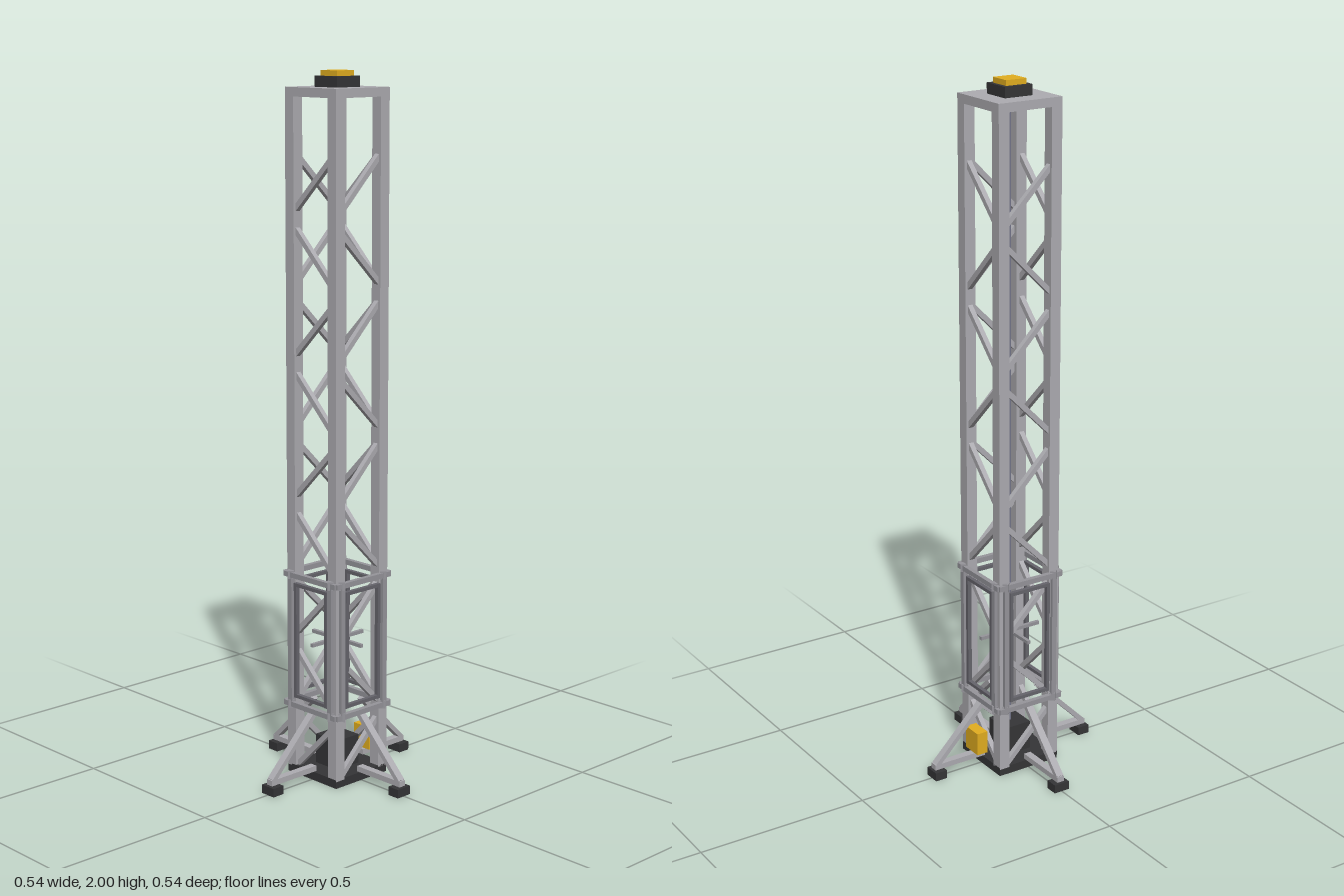
import * as THREE from 'three';

export function createModel() {
  const model = new THREE.Group();
  model.name = 'latticeTower';
  const mat = (name, color) => {
    const m = new THREE.MeshStandardMaterial({ color });
    m.name = name;
    return m;
  };
  const steel = mat('steelGrey', 0xadacb1);
  const frameGrey = mat('carriageGrey', 0x96959b);
  const railGrey = mat('railGrey', 0x66656c);
  const black = mat('black', 0x353537);
  const gold = mat('gold', 0xe2ae20);
  const cableGrey = mat('cableGrey', 0x74768a);

  const group = (name, parent = model) => {
    const g = new THREE.Group();
    g.name = name;
    parent.add(g);
    return g;
  };
  const box = (name, material, w, h, d, x, y, z, parent = model) => {
    const m = new THREE.Mesh(new THREE.BoxGeometry(w, h, d), material);
    m.name = name;
    m.position.set(x, y, z);
    parent.add(m);
    return m;
  };
  // rectangular bar between two points, in the space of its parent
  const bar = (name, material, a, b, t, parent, w = t) => {
    const p = new THREE.Vector3(...a), q = new THREE.Vector3(...b);
    const m = box(name, material, w, t, p.distanceTo(q), 0, 0, 0, parent);
    m.position.copy(p).add(q).multiplyScalar(0.5);
    m.quaternion.setFromRotationMatrix(new THREE.Matrix4().lookAt(q, p, m.up));
    return m;
  };

  // base, motor and control box
  box('basePlate', black, 0.2, 0.025, 0.2, 0, 0.0175, 0);
  box('motor', black, 0.086, 0.088, 0.086, 0, 0.073, 0);
  box('controlBox', gold, 0.062, 0.068, 0.034, 0, 0.085, -0.115);

  // corner posts and top plate
  for (const x of [-1, 1]) for (const z of [-1, 1])
    box('cornerPost', steel, 0.033, 1.91, 0.033, x * 0.0835, 0.98, z * 0.0835);
  box('topPlate', steel, 0.2, 0.025, 0.2, 0, 1.943, 0);
  box('topHousing', black, 0.087, 0.03, 0.087, 0, 1.97, 0);
  box('topCap', gold, 0.064, 0.016, 0.064, 0, 1.992, 0);

  // lattice bracing, alternating in direction from bay to bay
  const bracing = group('bracing');
  for (let i = 0; i < 9; i++) {
    const y = 0.1 + i * 0.2, s = i % 2 ? -1 : 1, r = 0.08;
    for (const f of [-1, 1]) {
      bar('faceBrace', steel, [-r * s, y - r, f * 0.085], [r * s, y + r, f * 0.085], 0.015, bracing);
      bar('sideBrace', steel, [f * 0.085, y - r, r * s * f], [f * 0.085, y + r, -r * s * f], 0.015, bracing);
    }
  }

  // lift cable
  const cable = new THREE.Mesh(new THREE.CylinderGeometry(0.004, 0.004, 1.84, 24), cableGrey);
  cable.name = 'liftCable';
  cable.position.y = 1.02;
  model.add(cable);

  for (let k = 0; k < 4; k++) {
    // outrigger legs with feet
    const leg = group('outrigger');
    leg.rotation.y = k * Math.PI / 2;
    box('foot', black, 0.037, 0.025, 0.048, 0.251, 0.0175, 0, leg);
    box('legBeam', steel, 0.17, 0.016, 0.022, 0.178, 0.04, 0, leg);
    bar('legStrut', steel, [0.255, 0.045, 0], [0.097, 0.203, 0], 0.014, leg, 0.022);

    // sliding carriage, one side
    const side = group('carriageSide');
    side.rotation.y = k * Math.PI / 2;
    for (const y of [0.215, 0.598])
      box('ringBar', frameGrey, 0.21, 0.015, 0.014, 0, y, 0.1035, side);
    for (const y of [0.242, 0.571])
      box('innerRail', railGrey, 0.13, 0.01, 0.012, 0, y, 0.1, side);
    for (const s of [-1, 1]) {
      box('guideRail', railGrey, 0.01, 0.34, 0.012, s * 0.062, 0.406, 0.1, side);
      box('cornerRail', frameGrey, 0.016, 0.385, 0.012, s * 0.081, 0.406, 0.104, side);
      for (const y of [0.215, 0.598]) {
        const clamp = box('railClamp', frameGrey, 0.017, 0.024, 0.017, s * 0.081, y, 0.103, side);
        clamp.rotation.y = Math.PI / 4;
      }
    }
  }

  // cable hitch at the middle of the carriage
  box('hitchBarAcross', frameGrey, 0.2, 0.01, 0.01, 0, 0.405, 0);
  box('hitchBarAlong', frameGrey, 0.01, 0.01, 0.2, 0, 0.405, 0);
  box('hitchBlock', gold, 0.026, 0.026, 0.026, 0, 0.41, 0);

  return model;
}
